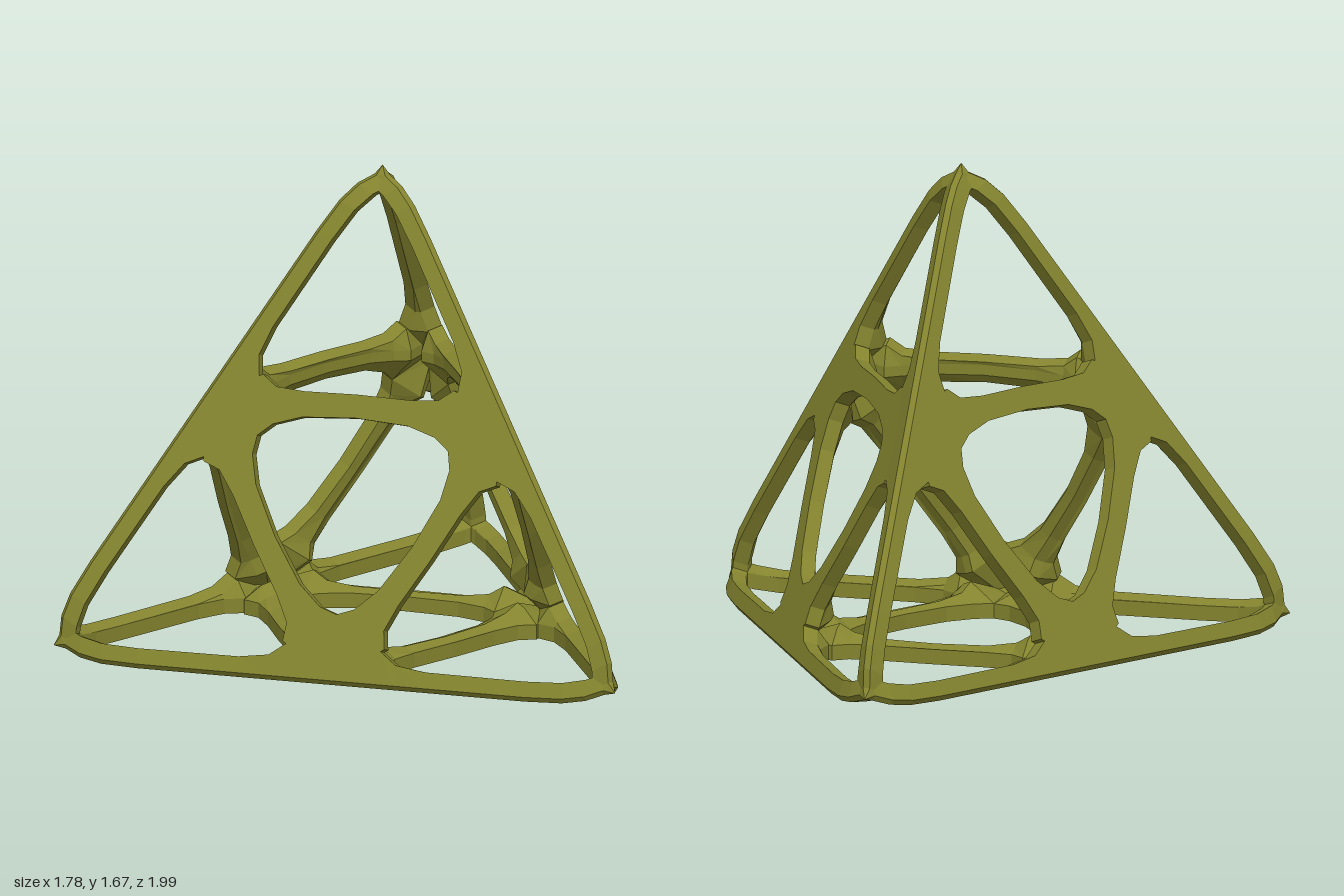
import * as THREE from 'three';
import { ConvexGeometry } from 'three/addons/geometries/ConvexGeometry.js';

const V = (x, y, z) => new THREE.Vector3(x, y, z);
const material = new THREE.MeshStandardMaterial({ color: 0x84842f, flatShading: true });
const B = 0.026; // half thickness of the webs

// Skin a list of closed rings (equal point counts) and cap both ends
function loft(rings) {
  const pos = [];
  const tri = (a, b, c) => pos.push(...a.toArray(), ...b.toArray(), ...c.toArray());
  const n = rings[0].length;
  for (let i = 0; i < rings.length - 1; i++) {
    for (let j = 0; j < n; j++) {
      const k = (j + 1) % n;
      tri(rings[i][j], rings[i][k], rings[i + 1][k]);
      tri(rings[i][j], rings[i + 1][k], rings[i + 1][j]);
    }
  }
  const last = rings[rings.length - 1];
  for (let j = 1; j < n - 1; j++) {
    tri(rings[0][0], rings[0][j + 1], rings[0][j]);
    tri(last[0], last[j], last[j + 1]);
  }
  const g = new THREE.BufferGeometry();
  g.setAttribute('position', new THREE.Float32BufferAttribute(pos, 3));
  g.computeVertexNormals();
  return g;
}

// Rings of section(h) along p -> q; stations are [distance, h, shift along e1]
function sweep(p, q, e1, e2, stations, section) {
  const t = q.clone().sub(p).normalize();
  return stations.map(([s, h, shift]) => section(h).map(([u, v]) =>
    p.clone().addScaledVector(t, s).addScaledVector(e1, u + shift).addScaledVector(e2, v)));
}

// Outer edge: blunt ridge outside, one web reaching into each adjoining face
function edgeSection(h) {
  const c = 0.816, s = 0.577;
  return [
    [-0.03, -0.0115],
    [c * h - s * B, -s * h - c * B],
    [c * h + s * B, -s * h + c * B],
    [c * h + s * B, s * h - c * B],
    [c * h - s * B, s * h + c * B],
    [-0.03, 0.0115],
  ];
}

// Inner brace: two webs in the outer face and a third along the inner face
function braceSection(h) {
  const c = 0.333, s = 0.943, b = 0.018, d = h * 0.8;
  return [
    [h, -B], [h, B],
    [c * d + s * b, s * d - c * b],
    [c * d - s * b, s * d + c * b],
    [-h, B], [-h, -B],
  ];
}

const perpendicular = (v, t) => v.clone().addScaledVector(t, -v.dot(t)).normalize();

export function createModel() {
  const group = new THREE.Group();
  const add = (name, geometry) => {
    const mesh = new THREE.Mesh(geometry, material);
    mesh.name = name;
    group.add(mesh);
  };

  // Regular tetrahedron, one base edge along z at the -x side
  const L = 2.07, r = L / Math.sqrt(3), top = L * Math.sqrt(2 / 3);
  const origin = V(-0.255, B, 0);
  const corners = [V(-r / 2, 0, L / 2), V(-r / 2, 0, -L / 2), V(r, 0, 0), V(0, top, 0)]
    .map((c) => c.add(origin));
  const centre = V(0, top / 4, 0).add(origin);
  const mid = (i, j) => corners[i].clone().add(corners[j]).multiplyScalar(0.5);
  const len = L / 2;
  const cut = 0.1; // how far each corner is drawn in

  // Half edges: rounded in at the corner, flared at the midpoint
  const edgeStations = [
    [cut * 0.816, 0.042, cut * 0.577], [0.14, 0.04, 0.025], [0.22, 0.037, 0.006],
    [0.35, 0.036, 0], [len - 0.33, 0.038, 0], [len - 0.225, 0.053, 0],
    [len - 0.165, 0.097, 0], [len, 0.07, 0],
  ];

  // Braces: flared at both ends, slim between
  const half = [[0.06, 0.05, 0], [0.18, 0.104, 0], [0.23, 0.064, 0.002], [0.33, 0.044, 0.014]];
  const braceStations = [
    ...half, [len / 2, 0.04, 0.022],
    ...half.map(([s, h, o]) => [len - s, h, o]).reverse(),
  ];

  for (let i = 0; i < 4; i++) {
    const others = [0, 1, 2, 3].filter((k) => k !== i);
    const out = corners[i].clone().sub(centre).normalize();
    const hub = [corners[i].clone().addScaledVector(out, 0.05 - cut)];

    // Half edges from this corner to the midpoints
    for (const j of others) {
      const p = corners[i], q = mid(i, j);
      const t = q.clone().sub(p).normalize();
      const e1 = perpendicular(centre.clone().sub(q), t);
      const e2 = t.clone().cross(e1);
      const rings = sweep(p, q, e1, e2, edgeStations, edgeSection);
      hub.push(...rings[0]);
      add('edgeStrut', loft(rings));
    }

    // Blunt corner joining the three half edges
    add('cornerHub', new ConvexGeometry(hub));

    // Braces closing the small tetrahedron of this corner
    for (let k = 0; k < 3; k++) {
      let p = mid(i, others[k]), q = mid(i, others[(k + 1) % 3]);
      const t = q.clone().sub(p).normalize();
      const e1 = perpendicular(corners[i].clone().sub(p), t);
      const e2 = t.clone().cross(e1);
      if (e2.dot(centre.clone().sub(p)) < 0) {
        e2.negate();
        [p, q] = [q, p];
      }
      add('innerBrace', loft(sweep(p, q, e1, e2, braceStations, braceSection)));
    }
  }
  return group;
}
